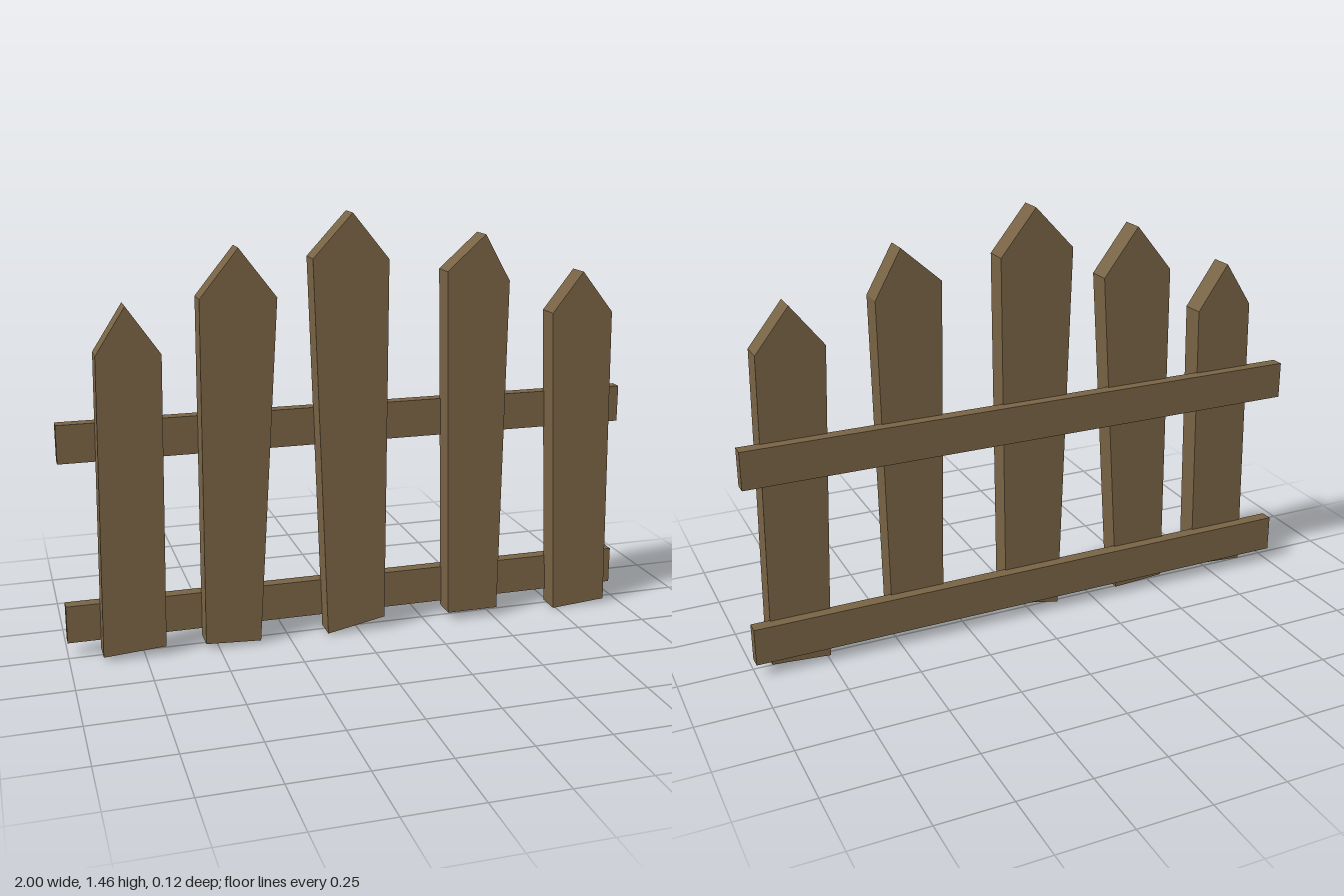
import * as THREE from 'three';

export function createModel() {
  const fence = new THREE.Group();
  fence.name = 'picketFence';
  const wood = new THREE.MeshStandardMaterial({ color: 0x786345 });
  wood.name = 'weathered wood';

  // Uneven pickets: bottom left, bottom right, right shoulder, tip, left shoulder
  const pickets = [
    [[-0.89, 0.015], [-0.68, 0.03], [-0.66, 1.03], [-0.77, 1.19], [-0.87, 1.035]],
    [[-0.545, 0.02], [-0.355, 0.01], [-0.28, 1.195], [-0.405, 1.36], [-0.535, 1.2]],
    [[-0.115, 0.005], [0.09, 0.045], [0.1, 1.305], [-0.025, 1.46], [-0.16, 1.315]],
    [[0.33, 0.03], [0.515, 0.03], [0.53, 1.215], [0.44, 1.375], [0.305, 1.255]],
    [[0.74, 0], [0.94, 0.015], [0.92, 1.09], [0.805, 1.235], [0.695, 1.095]],
  ];
  const back = -0.023, front = 0.06;
  pickets.forEach((corners, i) => {
    const shape = new THREE.Shape(corners.map(([x, y]) => new THREE.Vector2(x, y)));
    const geometry = new THREE.ExtrudeGeometry(shape, { depth: front - back, bevelEnabled: false });
    const picket = new THREE.Mesh(geometry, wood);
    picket.name = `picket${i + 1}`;
    picket.position.z = back;
    fence.add(picket);
  });

  // Two rails, set slightly into the back of the pickets
  for (const [name, y] of [['lowerRail', 0.113], ['upperRail', 0.737]]) {
    const rail = new THREE.Mesh(new THREE.BoxGeometry(2, 0.13, 0.044), wood);
    rail.name = name;
    rail.position.set(0, y, -0.038);
    fence.add(rail);
  }
  return fence;
}
